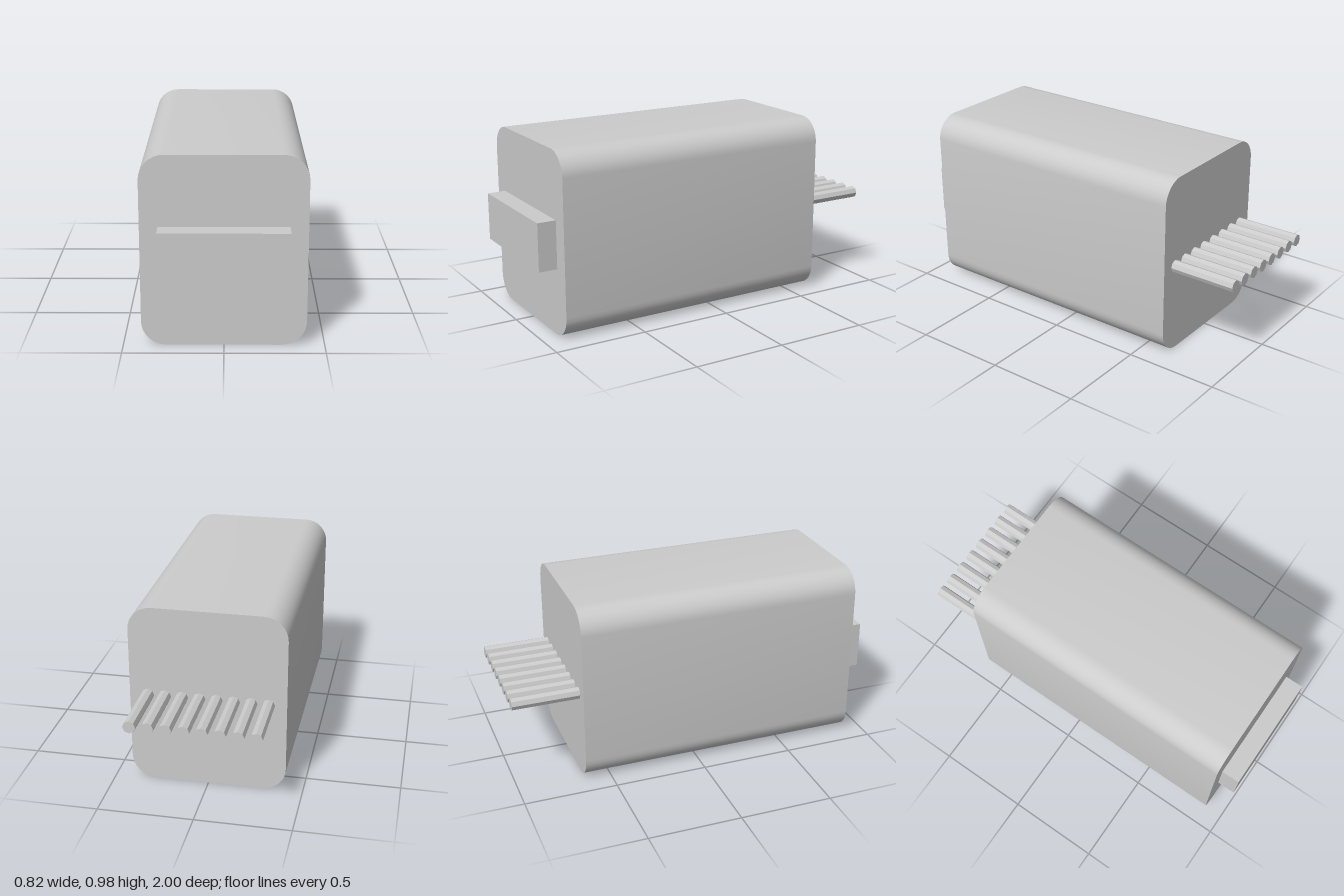
import * as THREE from 'three';
import { toCreasedNormals } from 'three/addons/utils/BufferGeometryUtils.js';

const FRONT = 0.9, BACK = -0.64;      // body end faces
const HALF_W = 0.41, HEIGHT = 0.975, RADIUS = 0.125;

function roundedRect(halfW, height, r) {
  const x = halfW - r, s = new THREE.Shape();
  s.moveTo(-x, 0);
  s.lineTo(x, 0);
  s.absarc(x, r, r, -Math.PI / 2, 0, false);
  s.absarc(x, height - r, r, 0, Math.PI / 2, false);
  s.absarc(-x, height - r, r, Math.PI / 2, Math.PI, false);
  s.absarc(-x, r, r, Math.PI, Math.PI * 1.5, false);
  return s;
}

export function createModel() {
  const model = new THREE.Group();
  const smooth = new THREE.MeshStandardMaterial({ color: 0xcccccc });
  const flat = new THREE.MeshStandardMaterial({ color: 0xcccccc, flatShading: true });

  const add = (name, geometry, material, x, y, z, parent = model) => {
    const mesh = new THREE.Mesh(geometry, material);
    mesh.name = name;
    mesh.position.set(x, y, z);
    parent.add(mesh);
    return mesh;
  };

  // Housing: rounded profile swept along z, smooth corners and sharp ends
  const housing = new THREE.ExtrudeGeometry(roundedRect(HALF_W, HEIGHT, RADIUS), {
    depth: FRONT - BACK, bevelEnabled: false, curveSegments: 4,
  });
  add('housing', toCreasedNormals(housing, 0.6), smooth, 0, 0, BACK);

  // Raised block on the front face
  add('frontBlock', new THREE.BoxGeometry(0.64, 0.256, 0.1), flat, 0, 0.489, 0.95);

  // Row of eight pins at the back
  const pins = new THREE.Group();
  pins.name = 'pins';
  model.add(pins);
  const length = BACK + 1;
  const pin = new THREE.CylinderGeometry(0.033, 0.033, length, 8).rotateX(Math.PI / 2);
  for (let i = 0; i < 8; i++) {
    add(`pin${i + 1}`, pin, flat, (i - 3.5) * 0.09, 0.491, BACK - length / 2, pins);
  }

  return model;
}
